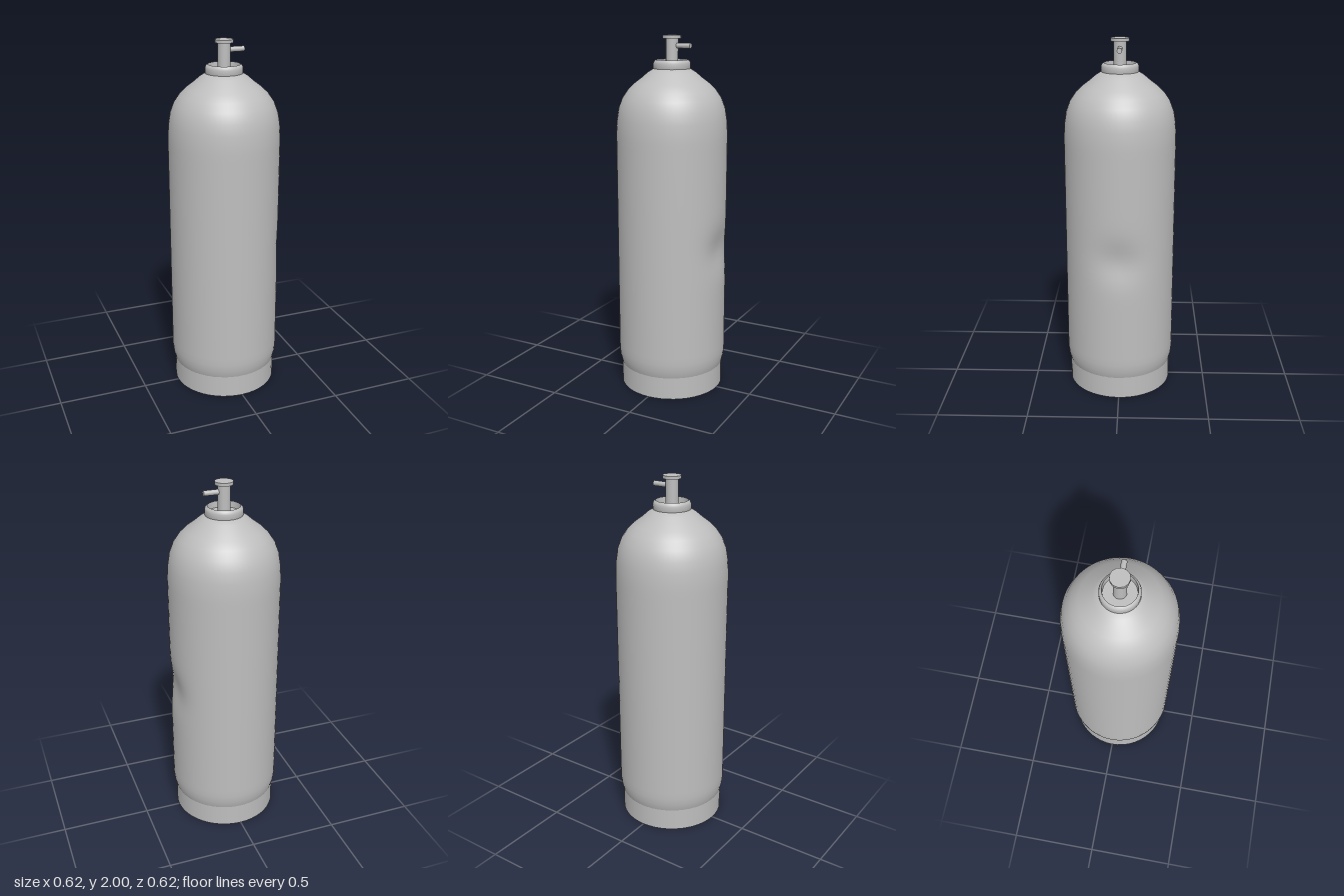
import * as THREE from 'three';
import { mergeVertices } from 'three/addons/utils/BufferGeometryUtils.js';

export function createModel() {
  const model = new THREE.Group();
  model.name = 'gasCylinder';
  const steel = new THREE.MeshStandardMaterial({ color: 0xbebebe });
  steel.name = 'grey steel';

  const add = (name, geometry, parent = model) => {
    const mesh = new THREE.Mesh(geometry, steel);
    mesh.name = name;
    parent.add(mesh);
    return mesh;
  };
  const lathe = (points, segments = 48) =>
    new THREE.LatheGeometry(points.map(([r, y]) => new THREE.Vector2(r, y)), segments);

  // Tank: shoulder dome on a straight wall, rows close enough to take a dent
  const profile = [[0.284, 0.11], [0.294, 0.13], [0.304, 0.17], [0.308, 0.21]];
  for (let y = 0.25; y < 1.46; y += 0.04) profile.push([0.308, y]);
  profile.push([0.307, 1.49], [0.303, 1.55], [0.293, 1.61], [0.272, 1.665], [0.241, 1.71],
    [0.205, 1.745], [0.165, 1.775], [0.13, 1.805], [0.1, 1.823], [0.05, 1.829], [0, 1.83]);
  let tank = lathe(profile, 64);
  tank.deleteAttribute('uv');
  tank.deleteAttribute('normal');
  tank = mergeVertices(tank, 1e-5);

  // Shallow dent in the left wall
  const pos = tank.attributes.position;
  for (let i = 0; i < pos.count; i++) {
    const x = pos.getX(i), y = pos.getY(i), z = pos.getZ(i);
    if (x <= 0 || y > 1.4) continue;
    const angle = Math.atan2(z, x);
    const depth = 0.027 * Math.exp(-(((y - 0.83) / 0.11) ** 2) - (angle / 0.4) ** 2);
    pos.setX(i, x - depth);
  }
  tank.computeVertexNormals();
  add('tank', tank);

  // Foot ring, open below, with the tank's flat underside inside it
  const foot = new THREE.Group();
  foot.name = 'footRing';
  model.add(foot);
  add('footOuterWall', lathe([[0.293, 0], [0.293, 0.13]]), foot);
  add('footInnerWall', lathe([[0.283, 0.11], [0.283, 0]]), foot);
  add('footRim', lathe([[0.283, 0], [0.293, 0]]), foot);
  add('tankUnderside', lathe([[0, 0.11], [0.286, 0.11]]), foot);

  // Neck collar: rounded outer rim around a recess
  const collar = new THREE.Group();
  collar.name = 'neckCollar';
  model.add(collar);
  add('collarOuter', lathe([[0.095, 1.81], [0.102, 1.825], [0.102, 1.85], [0.098, 1.863], [0.087, 1.87]]), collar);
  add('collarInner', lathe([[0.087, 1.87], [0.084, 1.835]]), collar);
  add('collarFloor', lathe([[0.086, 1.835], [0, 1.835]]), collar);

  // Valve: stem, hand knob and side outlet
  const valve = new THREE.Group();
  valve.name = 'valve';
  model.add(valve);
  add('valveStem', new THREE.CylinderGeometry(0.034, 0.034, 0.17, 16), valve).position.y = 1.905;
  add('valveKnob', new THREE.CylinderGeometry(0.05, 0.05, 0.017, 12), valve).position.y = 1.9915;
  const outlet = add('valveOutlet', new THREE.CylinderGeometry(0.0145, 0.0145, 0.1, 12), valve);
  outlet.rotation.z = -Math.PI / 2;
  outlet.position.set(0.063, 1.945, 0);

  return model;
}
